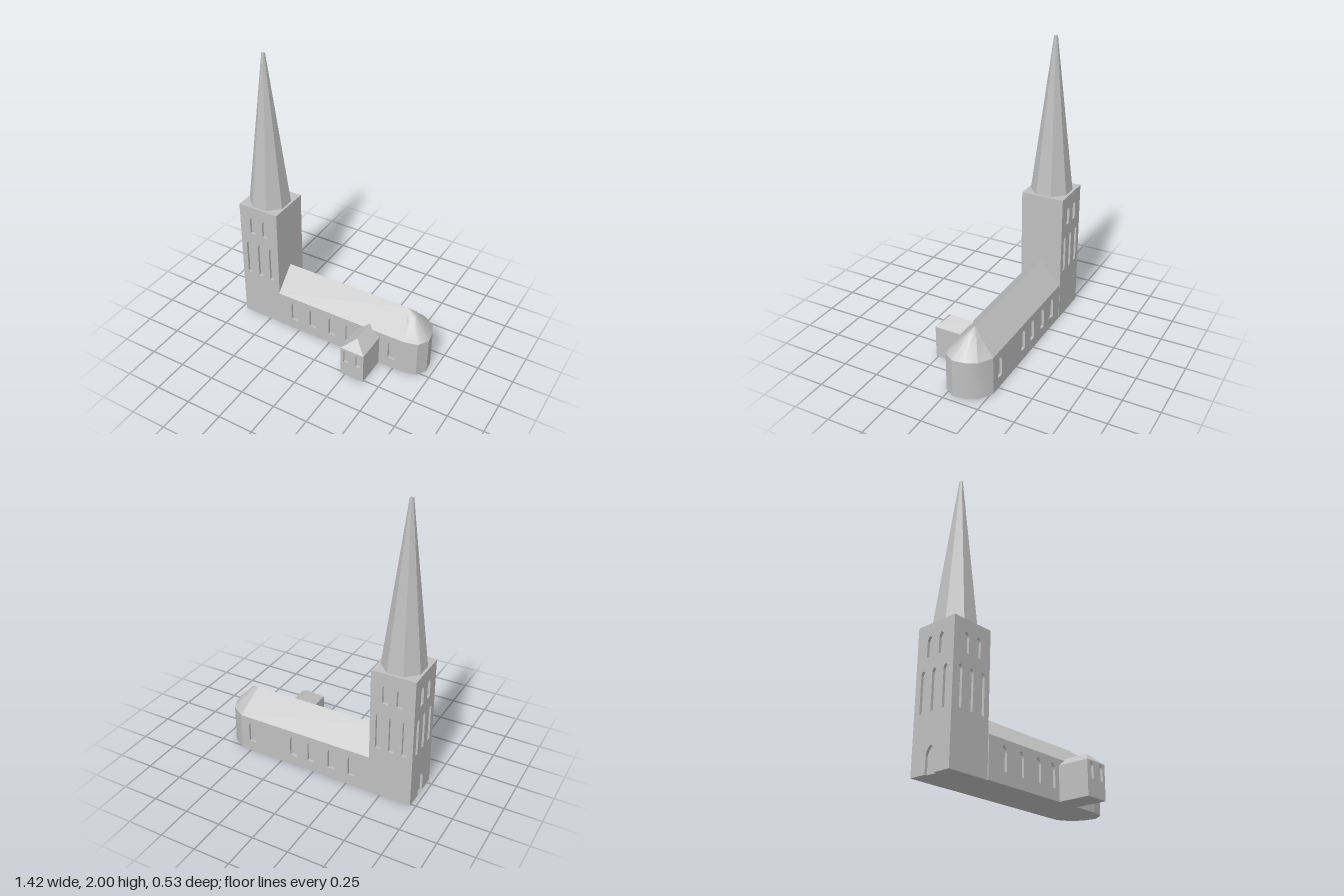
import * as THREE from 'three';
import { toCreasedNormals } from 'three/addons/utils/BufferGeometryUtils.js';

const DEPTH = 0.018; // depth of window recesses
const CREASE = 0.64;

export function createModel() {
  const model = new THREE.Group();
  model.name = 'church';
  const stone = new THREE.MeshStandardMaterial({ color: 0xbfbfbf });
  stone.name = 'grey stone';

  function add(name, geometry, x = 0, y = 0, z = 0, turn = 0) {
    const mesh = new THREE.Mesh(geometry, stone);
    mesh.name = name;
    mesh.position.set(x, y, z);
    mesh.rotation.y = turn;
    model.add(mesh);
    return mesh;
  }

  // Block given by its minimum and maximum corners
  function block(name, x0, x1, y0, y1, z0, z1) {
    add(name, new THREE.BoxGeometry(x1 - x0, y1 - y0, z1 - z0), (x0 + x1) / 2, (y0 + y1) / 2, (z0 + z1) / 2);
  }

  // Pointed arch outline, appended to a path from its lower right to its lower left
  function arch(path, u, y, w, h) {
    const r = w / 2, spring = y + h - w * 0.72;
    path.lineTo(u + r, spring);
    path.quadraticCurveTo(u + r * 0.8, y + h - w * 0.25, u, y + h);
    path.quadraticCurveTo(u - r * 0.8, y + h - w * 0.25, u - r, spring);
    path.lineTo(u - r, y);
  }

  // Wall panel facing local +z, pierced by [centre, sill, width, height] openings
  function panel(length, height, openings, door) {
    const l = length / 2, shape = new THREE.Shape();
    shape.moveTo(l, 0);
    shape.lineTo(l, height);
    shape.lineTo(-l, height);
    shape.lineTo(-l, 0);
    if (door) {
      const [u, y, w, h] = door, r = w / 2, spring = y + h - w * 0.72;
      shape.lineTo(u - r, 0);
      shape.lineTo(u - r, spring);
      shape.quadraticCurveTo(u - r * 0.8, y + h - w * 0.25, u, y + h);
      shape.quadraticCurveTo(u + r * 0.8, y + h - w * 0.25, u + r, spring);
      shape.lineTo(u + r, 0);
    }
    for (const [u, y, w, h] of openings) {
      const hole = new THREE.Path();
      hole.moveTo(u + w / 2, y);
      arch(hole, u, y, w, h);
      hole.closePath();
      shape.holes.push(hole);
    }
    return new THREE.ExtrudeGeometry(shape, { depth: DEPTH, bevelEnabled: false, curveSegments: 3 });
  }

  // Flat-shaded surface from polygons with outward counter-clockwise corners
  function faces(polygons) {
    const out = [];
    for (const p of polygons)
      for (let i = 1; i < p.length - 1; i++) out.push(...p[0], ...p[i], ...p[i + 1]);
    const g = new THREE.BufferGeometry();
    g.setAttribute('position', new THREE.Float32BufferAttribute(out, 3));
    g.computeVertexNormals();
    return g;
  }

  // Tower: core with pierced panels on three sides
  const tx = -0.565, tz = -0.113, half = 0.15, top = 0.925;
  const zf = tz + half + 0.002, zb = tz - half - 0.002;
  block('towerCore', tx - half + DEPTH, tx + half, 0, top, zb + DEPTH, zf - DEPTH);
  const lights = [];
  for (const u of [-0.049, 0.049]) lights.push([u, 0.71, 0.042, 0.135]);
  for (const u of [-0.092, 0, 0.092]) lights.push([u, 0.365, 0.034, 0.265]);
  add('towerFrontWall', panel(half * 2, top, lights), tx, 0, zf - DEPTH);
  add('towerBackWall', panel(half * 2, top, lights), tx, 0, zb + DEPTH, Math.PI);
  add('towerDoorWall', panel(zf - zb - 2 * DEPTH, top, lights, [0, 0, 0.075, 0.165]),
    tx - half + DEPTH, 0, tz, -Math.PI / 2);

  // Eight-sided spire with a tiny flat tip
  const spire = new THREE.CylinderGeometry(0.012, 0.144, 2 - top, 8).rotateY(Math.PI / 8).toNonIndexed();
  spire.computeVertexNormals();
  add('spire', spire, tx, (2 + top) / 2, tz);

  // Nave body with polygonal apse; plan points are [x, z]
  const west = tx + half, east = 0.57, nf = 0.045, nb = -0.263, eaves = 0.27, ridge = 0.43, mid = -0.11;
  const apse = [[east, nf], [0.663, 0.022], [0.708, -0.05], [0.697, -0.13], [0.66, -0.207], [east, nb]];
  const plan = [[west, nf - DEPTH], [east, nf - DEPTH], ...apse, [east, nb + DEPTH], [west, nb + DEPTH]];
  const body = new THREE.ExtrudeGeometry(
    new THREE.Shape(plan.map(([x, z]) => new THREE.Vector2(x, -z))), { depth: eaves, bevelEnabled: false });
  body.rotateX(-Math.PI / 2);
  add('naveAndApse', toCreasedNormals(body, CREASE));
  const nx = (west + east) / 2;
  const bays = [-0.287, -0.137, 0.018, 0.153, 0.483];
  for (const side of [1, -1]) {
    const windows = bays.map((x) => [side * (x - nx), 0.077, 0.052, 0.158]);
    add(side > 0 ? 'naveFrontWall' : 'naveBackWall', panel(east - west, eaves, windows),
      nx, 0, side > 0 ? nf - DEPTH : nb + DEPTH, side > 0 ? 0 : Math.PI);
  }

  // Nave roof slopes
  const apex = [0.52, ridge, mid];
  add('naveRoof', faces([
    [[west, eaves, nf], [east, eaves, nf], apex, [west, ridge, mid]],
    [[east, eaves, nb], [west, eaves, nb], [west, ridge, mid], apex],
    [[west, eaves, nb], [west, eaves, nf], [west, ridge, mid]],
  ]));

  // Apse roof, bulging gently below the apex
  const eave = apse.map(([x, z]) => [x, eaves, z]);
  const shoulder = eave.map(([x, y, z], i) => {
    const t = 0.33, swell = 0.028 * Math.sin(Math.PI * i / (eave.length - 1));
    return [apex[0] + (x - apex[0]) * t, ridge + (y - ridge) * t + swell, mid + (z - mid) * t];
  });
  const cone = [];
  for (let i = 0; i < eave.length - 1; i++) {
    cone.push([eave[i], eave[i + 1], shoulder[i + 1], shoulder[i]]);
    cone.push([shoulder[i], shoulder[i + 1], apex]);
  }
  add('apseRoof', toCreasedNormals(faces(cone), CREASE));

  // Porch with two front windows and a hipped roof
  const px0 = 0.217, px1 = 0.39, px = (px0 + px1) / 2, pf = 0.265, wall = 0.229, pr = 0.295;
  block('porchCore', px0, px1, 0, wall, nf - DEPTH, pf - DEPTH);
  add('porchFrontWall', panel(px1 - px0, wall, [-0.046, 0.046].map((u) => [u, 0.115, 0.038, 0.108])),
    px, 0, pf - DEPTH);
  const hip = [px, pr, 0.193], back = [px, pr, 0.015];
  add('porchRoof', faces([
    [[px0, wall, pf], [px1, wall, pf], hip],
    [[px1, wall, pf], [px1, wall, 0.015], back, hip],
    [[px0, wall, 0.015], [px0, wall, pf], hip, back],
  ]));

  return model;
}
